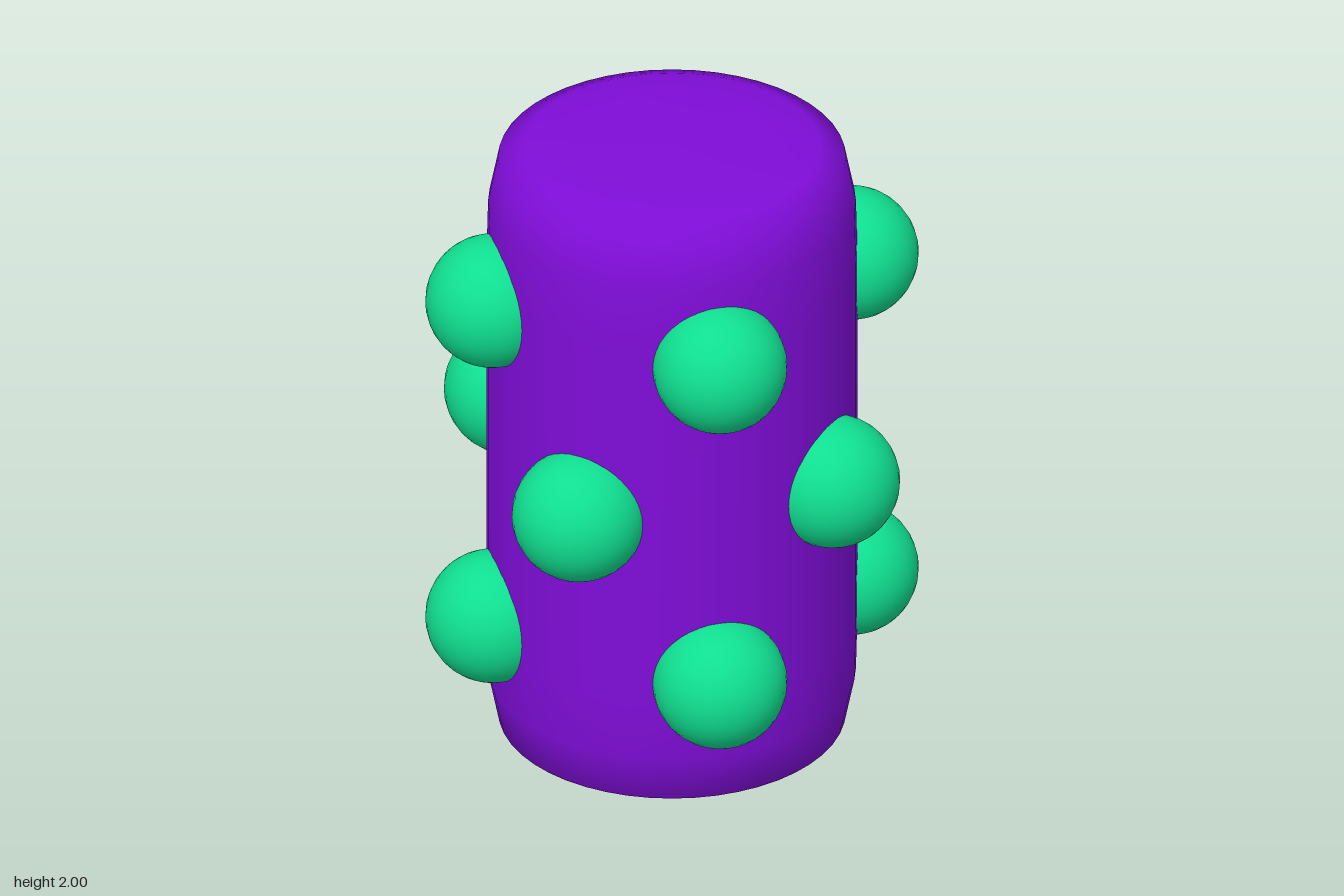
import * as THREE from 'three';

export function createModel() {
  const model = new THREE.Group();
  const purple = new THREE.MeshStandardMaterial({ color: 0x7f0dd8 });
  purple.name = 'purple';
  const green = new THREE.MeshStandardMaterial({ color: 0x10de90 });
  green.name = 'green';

  // Barrel body: straight wall with softly rounded, slightly tapered ends
  const lowerProfile = [[0, 0], [0.3, 0.005], [0.44, 0.018], [0.515, 0.05], [0.545, 0.2], [0.55, 0.4]];
  const upperProfile = lowerProfile.map(([r, y]) => [r, 2 - y]).reverse();
  const profile = [...lowerProfile, ...upperProfile].map(([r, y]) => new THREE.Vector2(r, y));
  const body = new THREE.Mesh(new THREE.LatheGeometry(profile, 48), purple);
  body.name = 'body';
  model.add(body);

  // Round knobs in three staggered rings, half sunk into the wall
  const knobGeometry = new THREE.SphereGeometry(0.2, 32, 20);
  const rings = [
    { name: 'lowerKnob', y: 0.46, turn: Math.PI / 4 },
    { name: 'middleKnob', y: 1, turn: 0 },
    { name: 'upperKnob', y: 1.54, turn: Math.PI / 4 },
  ];
  for (const { name, y, turn } of rings) {
    for (let i = 0; i < 4; i++) {
      const angle = turn + (i * Math.PI) / 2;
      const knob = new THREE.Mesh(knobGeometry, green);
      knob.name = name + (i + 1);
      knob.position.set(Math.sin(angle) * 0.55, y, Math.cos(angle) * 0.55);
      model.add(knob);
    }
  }
  return model;
}
